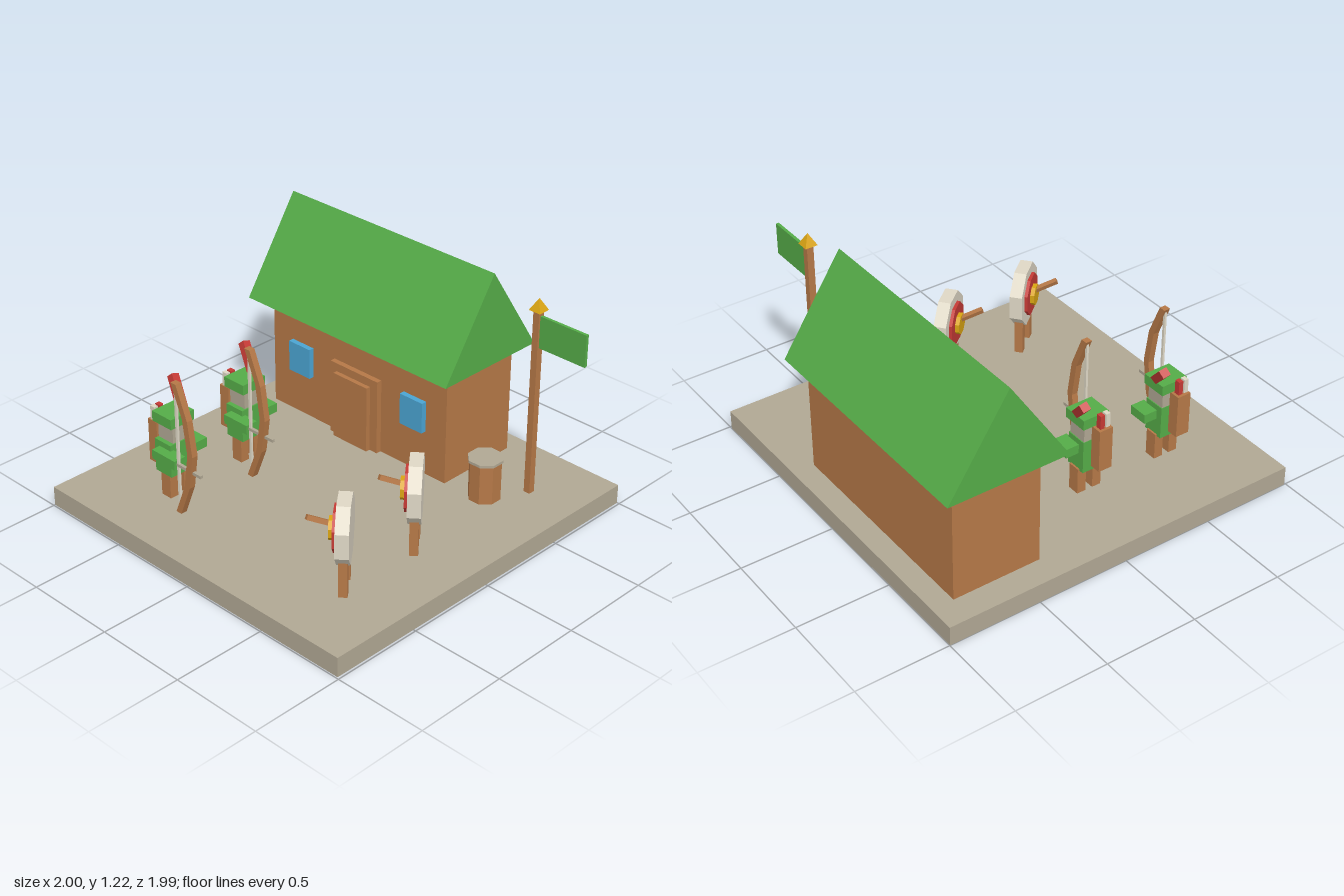
import * as THREE from 'three';

const mat = (name, color) => Object.assign(new THREE.MeshStandardMaterial({ color }), { name });
const wood = mat('wood', 0xb57847);
const green = mat('green', 0x55ab48);
const stone = mat('stone', 0xb0a793);
const straw = mat('pale straw', 0xded7c5);
const red = mat('red', 0xc53a35);
const gold = mat('gold', 0xd9a413);
const blue = mat('blue', 0x4ba4d2);
const ground = mat('ground', 0xb0a793);
ground.side = THREE.DoubleSide;

function add(parent, name, geometry, material) {
  const mesh = new THREE.Mesh(geometry, material);
  mesh.name = name;
  parent.add(mesh);
  return mesh;
}

// Box given by its low and high limits on each axis
function box(parent, name, material, x0, x1, y0, y1, z0, z1) {
  const mesh = add(parent, name, new THREE.BoxGeometry(x1 - x0, y1 - y0, z1 - z0), material);
  mesh.position.set((x0 + x1) / 2, (y0 + y1) / 2, (z0 + z1) / 2);
  return mesh;
}

// Square bar between two points
function bar(parent, name, material, a, b, w) {
  const p = new THREE.Vector3(...a), q = new THREE.Vector3(...b);
  const dir = q.clone().sub(p);
  const mesh = add(parent, name, new THREE.BoxGeometry(w, dir.length(), w), material);
  mesh.position.copy(p).add(q).multiplyScalar(0.5);
  mesh.quaternion.setFromUnitVectors(new THREE.Vector3(0, 1, 0), dir.normalize());
  return mesh;
}

// Eight-sided prism with flat sides on the axes; r is half the width across flats
function octagon(r, h) {
  const R = r / Math.cos(Math.PI / 8);
  return new THREE.CylinderGeometry(R, R, h, 8).toNonIndexed().rotateY(Math.PI / 8);
}

function flatten(geometry) {
  geometry.computeVertexNormals();
  return geometry;
}

function shape(points) {
  return new THREE.Shape(points.map(p => new THREE.Vector2(...p)));
}

function buildHouse() {
  const g = new THREE.Group();
  g.name = 'house';
  box(g, 'walls', wood, -0.855, 0.36, 0.105, 0.73, -0.88, -0.4);

  // Gable roof extruded along x
  const roof = new THREE.ExtrudeGeometry(shape([[-0.33, 0], [0.33, 0], [0, 0.5]]), { depth: 1.375, bevelEnabled: false });
  roof.rotateY(Math.PI / 2);
  add(g, 'roof', roof, green).position.set(-0.935, 0.72, -0.626);

  box(g, 'doorFrame', wood, -0.41, -0.08, 0.105, 0.52, -0.4, -0.37);
  box(g, 'door', wood, -0.365, -0.13, 0.105, 0.475, -0.4, -0.345);
  for (const x of [-0.64, 0.15]) box(g, 'window', blue, x - 0.075, x + 0.075, 0.35, 0.52, -0.4, -0.37);
  return g;
}

function buildFlag() {
  const g = new THREE.Group();
  g.name = 'flagpole';
  box(g, 'pole', wood, 0.687, 0.723, 0.105, 1.13, -0.66, -0.624);
  const tip = new THREE.ConeGeometry(0.048, 0.063, 4).toNonIndexed().rotateY(Math.PI / 4);
  add(g, 'finial', flatten(tip), gold).position.set(0.705, 1.147, -0.642);
  box(g, 'flag', green, 0.72, 1, 0.92, 1.09, -0.65, -0.634);
  return g;
}

function buildStump() {
  const g = new THREE.Group();
  g.name = 'barrel';
  g.position.set(0.577, 0, -0.452);
  add(g, 'barrelBody', flatten(octagon(0.078, 0.215)), wood).position.y = 0.2125;
  add(g, 'barrelLid', flatten(octagon(0.085, 0.014)), stone).position.y = 0.325;
  return g;
}

// Target faces local +z, turned toward the archers
function buildTarget() {
  const g = new THREE.Group();
  g.name = 'target';
  const disc = (name, r, z0, z1, material) => {
    const geometry = flatten(octagon(r, z1 - z0).rotateX(Math.PI / 2));
    add(g, name, geometry, material).position.set(0, 0.423, (z0 + z1) / 2);
  };
  disc('targetDisc', 0.158, -0.033, 0.033, straw);
  disc('redRing', 0.107, 0.033, 0.05, red);
  disc('bullseye', 0.053, 0.05, 0.072, gold);
  for (const s of [-1, 1]) box(g, 'targetLeg', wood, s * 0.072 - 0.022, s * 0.072 + 0.022, 0.105, 0.3, -0.022, 0.022);
  bar(g, 'stuckArrow', wood, [0.04, 0.5, 0.17], [0, 0.443, 0.05], 0.024);
  g.rotation.y = -0.882;
  return g;
}

// Archer aims along +x, holding the bow on the +z side
function buildArcher() {
  const g = new THREE.Group();
  g.name = 'archer';
  for (const z of [-0.045, 0.045]) box(g, 'leg', wood, -0.57, -0.505, 0.105, 0.25, z - 0.025, z + 0.025);
  box(g, 'tunic', green, -0.595, -0.48, 0.24, 0.42, -0.06, 0.08);
  box(g, 'head', stone, -0.593, -0.487, 0.42, 0.51, -0.055, 0.055);
  box(g, 'hat', green, -0.612, -0.475, 0.51, 0.565, -0.075, 0.075);
  bar(g, 'hatFeather', red, [-0.535, 0.56, -0.053], [-0.65, 0.68, -0.1], 0.042);
  box(g, 'bowArm', green, -0.56, -0.395, 0.34, 0.39, 0.06, 0.13);
  box(g, 'drawArm', green, -0.56, -0.455, 0.34, 0.39, -0.135, -0.055);

  // Quiver with two arrow ends
  box(g, 'quiver', wood, -0.657, -0.595, 0.265, 0.5, -0.012, 0.065);
  box(g, 'redFletching', red, -0.642, -0.612, 0.49, 0.575, 0.002, 0.027);
  box(g, 'paleFletching', straw, -0.642, -0.612, 0.49, 0.575, 0.036, 0.06);

  // Bow as a bent strip, with string and nocked arrow
  const path = [[-0.385, 0.1], [-0.313, 0.28], [-0.285, 0.465], [-0.313, 0.65], [-0.385, 0.825]];
  const outline = [...path.map(([x, y]) => [x + 0.019, y]), ...path.map(([x, y]) => [x - 0.017, y]).reverse()];
  const bow = new THREE.ExtrudeGeometry(shape(outline), { depth: 0.034, bevelEnabled: false });
  add(g, 'bow', bow, wood).position.z = 0.092;
  box(g, 'bowString', straw, -0.394, -0.38, 0.11, 0.815, 0.103, 0.115);
  box(g, 'arrow', stone, -0.46, -0.225, 0.36, 0.376, 0.1, 0.116);
  return g;
}

export function createModel() {
  const model = new THREE.Group();
  model.name = 'archeryRange';

  // Ground slab, open underneath: the bottom face group is dropped
  const slab = new THREE.BoxGeometry(1.987, 0.105, 1.99);
  const index = Array.from(slab.index.array);
  index.splice(18, 6);
  slab.setIndex(index);
  slab.clearGroups();
  add(model, 'groundSlab', slab, ground).position.set(-0.0065, 0.0525, -0.003);

  model.add(buildHouse(), buildFlag(), buildStump());
  for (const z of [0.106, 0.581]) {
    const archer = buildArcher();
    archer.position.z = z;
    const target = buildTarget();
    target.position.set(0.626, 0, z);
    model.add(archer, target);
  }
  return model;
}
